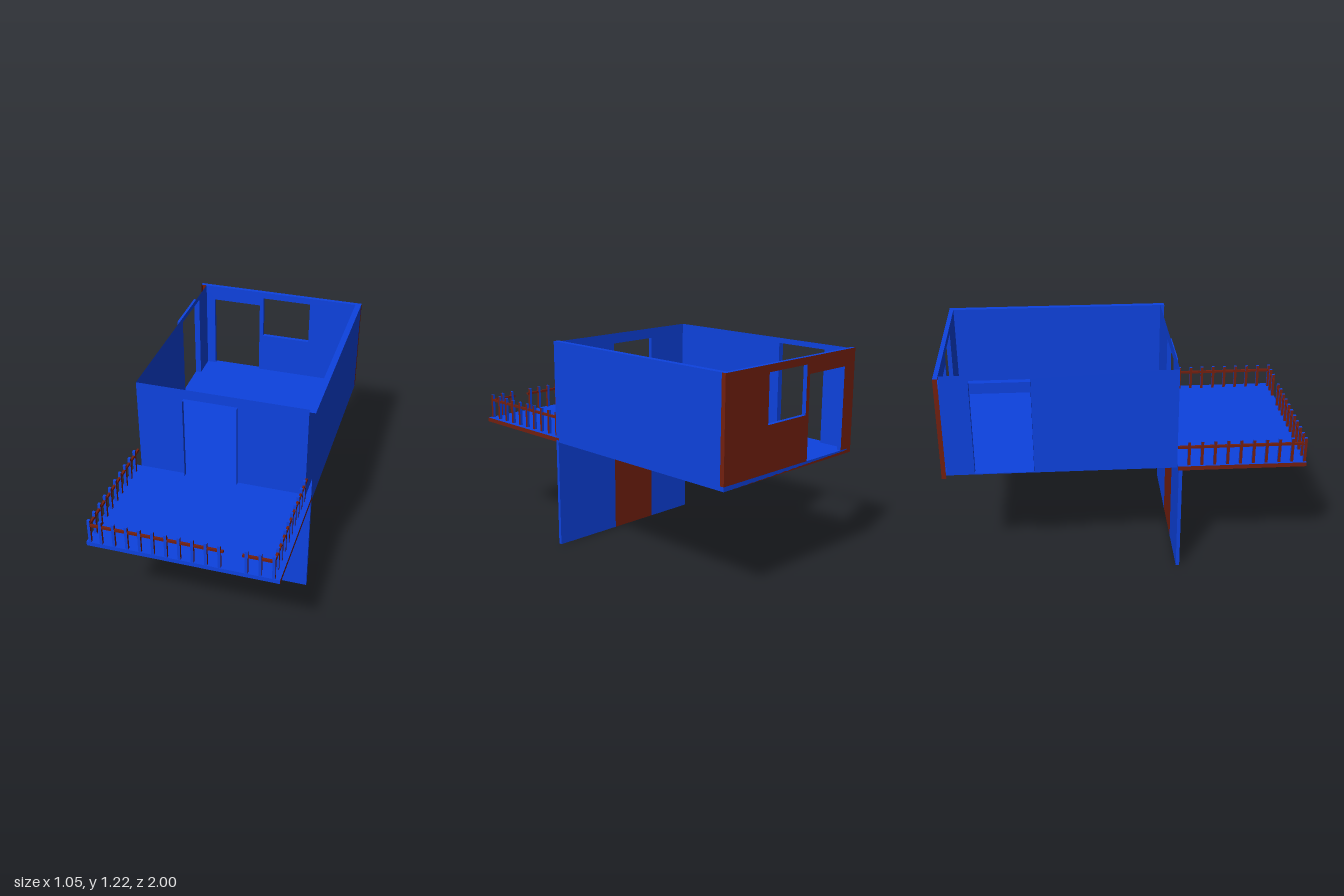
import * as THREE from 'three';

const blue = new THREE.MeshStandardMaterial({ color: 0x0d42df, side: THREE.DoubleSide });
const brown = new THREE.MeshStandardMaterial({ color: 0x731f0f, side: THREE.DoubleSide });
const FACES = ['+x', '-x', '+y', '-y', '+z', '-z'];

// Box between bounds, keeping only the listed sides
function block(name, [x0, x1], [y0, y1], [z0, z1], mat, faces = FACES) {
  const geo = new THREE.BoxGeometry(x1 - x0, y1 - y0, z1 - z0);
  const index = Array.from(geo.index.array);
  geo.setIndex(index.filter((_, i) => faces.includes(FACES[Math.floor(i / 6)])));
  geo.clearGroups();
  geo.translate((x0 + x1) / 2, (y0 + y1) / 2, (z0 + z1) / 2);
  const mesh = new THREE.Mesh(geo, mat);
  mesh.name = name;
  return mesh;
}

// Block whose x sides are brown and whose other sides are blue
function twoTone(name, xs, ys, zs) {
  const g = new THREE.Group();
  g.name = name;
  g.add(block(name + 'Sides', xs, ys, zs, brown, ['+x', '-x']));
  g.add(block(name + 'Faces', xs, ys, zs, blue, ['+y', '-y', '+z', '-z']));
  return g;
}

function rectPath(path, [u0, u1], [y0, y1]) {
  path.moveTo(u0, y0);
  path.lineTo(u1, y0);
  path.lineTo(u1, y1);
  path.lineTo(u0, y1);
  path.closePath();
  return path;
}

// Thin upright wall with rectangular openings
function sheet(name, us, ys, holes, mat) {
  const shape = rectPath(new THREE.Shape(), us, ys);
  for (const [hu, hy] of holes) shape.holes.push(rectPath(new THREE.Path(), hu, hy));
  const mesh = new THREE.Mesh(new THREE.ShapeGeometry(shape), mat);
  mesh.name = name;
  return mesh;
}

export function createModel() {
  const model = new THREE.Group();
  model.name = 'balconyHouse';

  const W = 0.525, IN = 0.49;              // outer and inner half widths
  const BASE = 0.63, FLOOR = 0.655, TOP = 1.22;
  const FRONT = 0.285, LIP = 0.31, BACK = -1, BACK_IN = -0.975;

  // Ground floor facade with a full height door panel
  const doorX = [-0.217, 0.092], lowY = [0, BASE], lowZ = [0.29, LIP];
  model.add(block('lowerWallRight', [-W, doorX[0]], lowY, lowZ, blue));
  model.add(block('lowerDoor', doorX, lowY, lowZ, brown));
  model.add(block('lowerWallLeft', [doorX[1], W], lowY, lowZ, blue));

  // Floors
  model.add(block('roomFloor', [-IN, W], [BASE, FLOOR], [BACK, FRONT], blue));
  model.add(twoTone('balconyDeck', [-W, W], [BASE, FLOOR], [FRONT, 1]));

  // Front wall and its opening frame
  const frontDoorY = [FLOOR, 1.16];
  const front = sheet('frontWall', [-IN, IN], [FLOOR, TOP], [[doorX, frontDoorY]], blue);
  front.position.z = FRONT;
  model.add(front);
  model.add(block('frontDoorFrame', doorX, frontDoorY, [FRONT, LIP], blue, ['+x', '-x', '+y', '-y']));

  // Side wall with a projecting opening frame
  const sideZ = [-0.82, -0.5], sideY = [FLOOR, 1.19];
  const side = sheet('rightWall', [BACK_IN, FRONT], [BASE, TOP], [[sideZ, sideY]], blue);
  side.rotation.y = -Math.PI / 2;
  side.position.x = -IN;
  model.add(side);
  model.add(block('rightDoorFrame', [-W, -IN], sideY, sideZ, blue, ['+y', '-y', '+z', '-z']));

  // Hollow double wall, open at its front end
  model.add(block('leftWall', [IN, W], [BASE, TOP], [BACK_IN, LIP], blue, ['+x', '-x', '+y']));

  // Back wall: brown outside, blue inside, with window and door
  const winX = [-0.105, 0.2], winY = [0.91, 1.18];
  const backX = [-0.435, -0.13], backY = [FLOOR, 1.127];
  const holes = [[winX, winY], [backX, backY]];
  const outer = sheet('backWallOuter', [-W, W], [BASE, TOP], holes, brown);
  outer.position.z = BACK;
  const inner = sheet('backWallInner', [-IN, IN], [FLOOR - 0.005, TOP], holes, blue);
  inner.position.z = BACK_IN;
  model.add(outer, inner);
  model.add(block('backWallCap', [-W, W], [BASE, TOP], [BACK, BACK_IN], blue, ['+y']));
  model.add(block('backWallEnds', [-W, W], [BASE, TOP], [BACK, BACK_IN], brown, ['+x', '-x']));
  for (const [name, hx, hy] of [['windowLining', winX, winY], ['backDoorLining', backX, backY]])
    model.add(block(name, hx, hy, [BACK, BACK_IN], blue, ['+x', '-x', '+y', '-y']));

  // Balcony railing
  const railing = new THREE.Group();
  railing.name = 'railing';
  const h = 0.008, PITCH = 0.0717, EDGE = 0.99, railY = [0.757, 0.771];
  const post = (x, z) =>
    railing.add(twoTone('railingPost', [x - h, x + h], [FLOOR, 0.797], [z - h, z + h]));
  const rail = (xs, zs) => railing.add(block('handrail', xs, railY, zs, brown));

  for (const x of [-0.505, 0.49]) {
    for (let i = 0; i < 10; i++) post(x, EDGE - i * 0.0715);
    rail([x - 0.006, x + 0.006], [FRONT, EDGE]);
  }
  // Front posts leave out one place for the gap
  for (let i = 0; i < 13; i++) if (i !== 10) post(-0.442 + i * PITCH, EDGE);
  rail([-0.505, 0.226], [EDGE - 0.006, EDGE + 0.006]);
  rail([0.325, 0.49], [EDGE - 0.006, EDGE + 0.006]);
  model.add(railing);

  return model;
}
